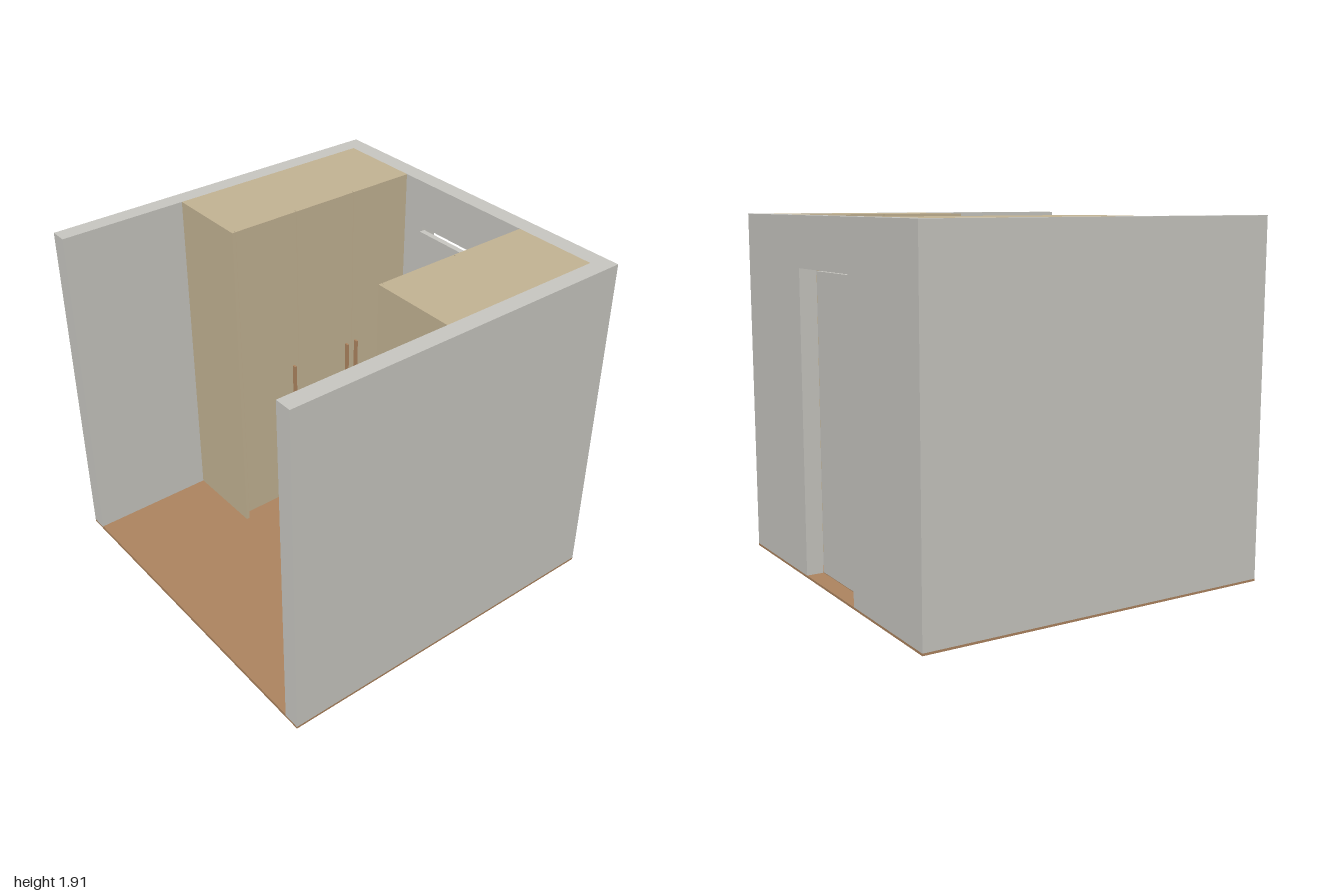
import * as THREE from 'three';

const HX = 1, HZ = 0.9925, H = 1.908; // half width, half depth, wall top
const SLAB = 0.012, FLOOR = 0.019;    // slab top, finished floor top
const IX = 0.907, IZ = -0.897;        // inner faces of side and back walls

const material = (name, color) => Object.assign(new THREE.MeshStandardMaterial({ color }), { name });

// Box given by its minimum and maximum on each axis
function block(parent, name, mat, [x0, x1], [y0, y1], [z0, z1]) {
  const mesh = new THREE.Mesh(new THREE.BoxGeometry(x1 - x0, y1 - y0, z1 - z0), mat);
  mesh.position.set((x0 + x1) / 2, (y0 + y1) / 2, (z0 + z1) / 2);
  mesh.name = name;
  parent.add(mesh);
  return mesh;
}

export function createModel() {
  const model = new THREE.Group();
  model.name = 'room';
  const wall = material('wall grey', 0xc9c8c2);
  const tan = material('cabinet tan', 0xc4b494);
  const wood = material('floor wood', 0xae8560);

  // Floor slab and the finish laid between the walls
  block(model, 'floorSlab', wood, [-HX, HX], [0, SLAB], [-HZ, HZ]);
  block(model, 'floorFinish', wood, [-IX, IX], [SLAB, FLOOR], [IZ, HZ]);

  // U-shaped side and back walls; the back has a door opening
  block(model, 'rightWall', wall, [-HX, -IX], [SLAB, H], [-HZ, HZ]);
  block(model, 'leftWall', wall, [IX, HX], [SLAB, H], [-HZ, HZ]);
  const back = new THREE.Shape([
    [-IX, SLAB], [-0.293, SLAB], [-0.293, 1.64], [0.29, 1.64],
    [0.29, SLAB], [IX, SLAB], [IX, H], [-IX, H],
  ].map(([x, y]) => new THREE.Vector2(x, y)));
  const backWall = new THREE.Mesh(
    new THREE.ExtrudeGeometry(back, { depth: IZ + HZ, bevelEnabled: false }), wall);
  backWall.position.z = -HZ;
  backWall.name = 'backWall';
  model.add(backWall);

  // Door leaf just inside the opening, with a gap around it
  block(model, 'doorLeaf', wall, [-0.279, 0.276], [FLOOR, 1.623], [-0.902, -0.869]);

  // Built-in cabinet along one side wall, reaching from the back wall to zFront
  function cabinet(name, side, zFront, doorCount, handles) {
    const group = new THREE.Group();
    group.name = name;
    model.add(group);
    const span = (a, b) => (side > 0 ? [a, b] : [-b, -a]);
    const face = 0.434, panel = 0.02, leaf = 0.014, kick = 0.068;
    const zEnd = zFront - panel;
    block(group, 'endPanel', tan, span(face, IX), [FLOOR, H], [zEnd, zFront]);
    block(group, 'carcass', tan, span(face + leaf, IX), [kick, H], [IZ, zEnd]);
    block(group, 'kickBoard', tan, span(face + 0.05, IX), [FLOOR, kick], [IZ, zEnd]);
    const width = (zEnd - IZ) / doorCount;
    for (let i = 0; i < doorCount; i++) {
      const z = IZ + i * width;
      block(group, 'cabinetDoor', tan, span(face, face + leaf), [kick, H],
        [z + 0.002, z + width - 0.002]);
    }
    for (const z of handles) {
      block(group, 'handle', wood, span(face - 0.022, face), [0.73, 0.965],
        [z - 0.006, z + 0.006]);
    }
  }
  cabinet('longCabinet', -1, 0.285, 3, [-0.533, -0.466, -0.085]);
  cabinet('shortCabinet', 1, 0.048, 2, [-0.46, -0.394]);

  return model;
}
